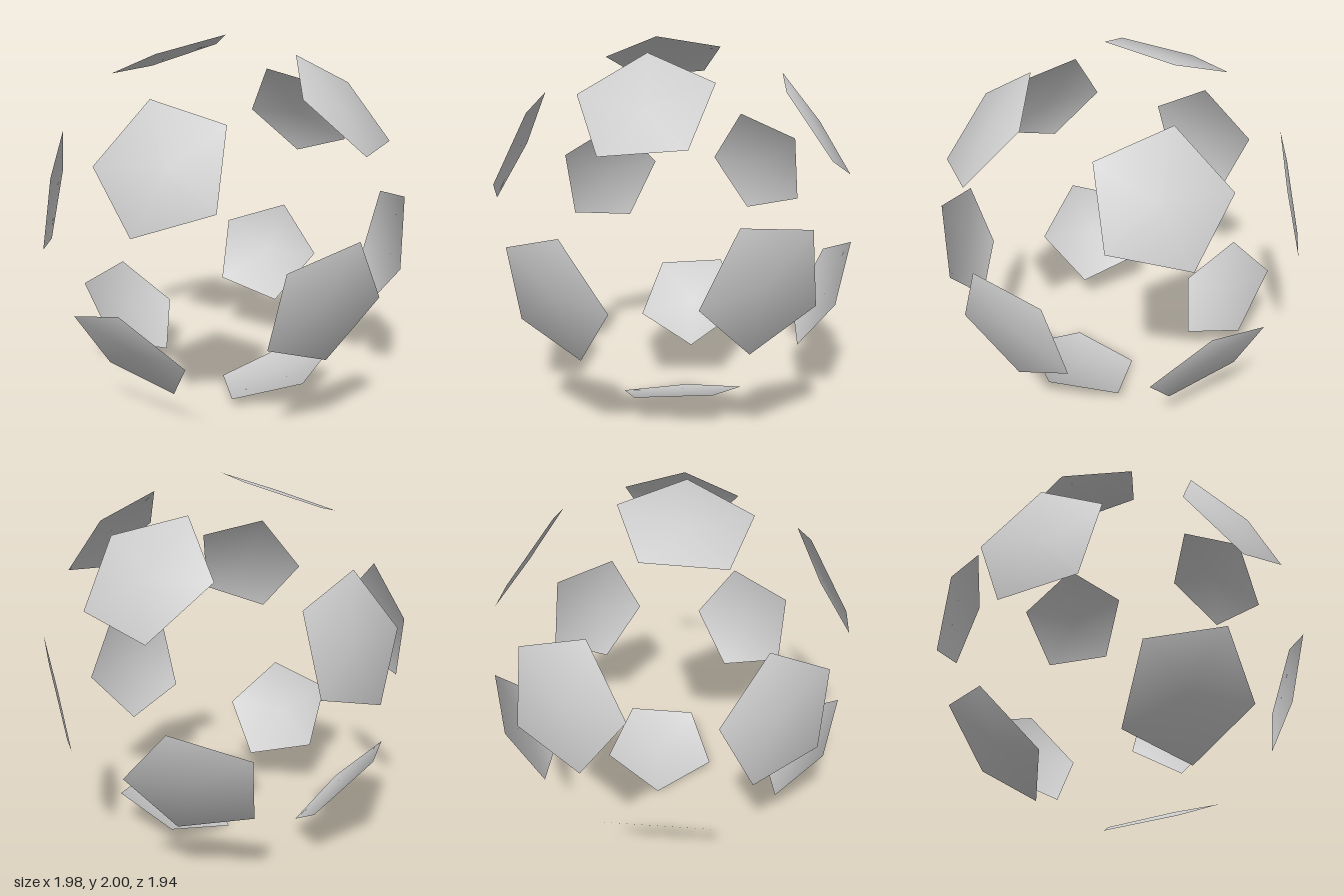
import * as THREE from 'three';

// Twelve pentagon panels of a truncated icosahedron, floating as an open ball.
export function createModel() {
  const model = new THREE.Group();
  model.name = 'panelBall';

  const R = 1.005;               // corner distance from the ball's centre
  const edge = R / 2.478;        // pentagon side
  const radius = edge * 0.8507;  // pentagon circumradius
  const height = Math.sqrt(R * R - radius * radius);

  // Flat pentagon facing +z, with normals rounded to follow the ball
  const panelGeometry = new THREE.CircleGeometry(radius, 5);
  panelGeometry.translate(0, 0, height);
  const pos = panelGeometry.attributes.position;
  const v = new THREE.Vector3();
  for (let i = 0; i < pos.count; i++) {
    v.fromBufferAttribute(pos, i).normalize();
    panelGeometry.attributes.normal.setXYZ(i, v.x, v.y, v.z);
  }
  const material = new THREE.MeshStandardMaterial({ color: 0xcccccc, side: THREE.DoubleSide });

  // Tilted ball, lifted to stand on the ground
  const ball = new THREE.Group();
  ball.name = 'panels';
  const up = new THREE.Vector3(-0.3065, 0.9515, -0.02).normalize();
  const side = new THREE.Vector3(0.951, 0.307, 0.013);
  side.addScaledVector(up, -side.dot(up)).normalize();
  const front = new THREE.Vector3().crossVectors(side, up);
  ball.quaternion.setFromRotationMatrix(new THREE.Matrix4().makeBasis(side, up, front));
  ball.position.y = 1;
  model.add(ball);

  // A panel centred on an axis, one corner pointing towards a neighbouring axis
  function addPanel(name, axis, neighbour) {
    const x = neighbour.clone().addScaledVector(axis, -neighbour.dot(axis)).normalize();
    const y = new THREE.Vector3().crossVectors(axis, x);
    const panel = new THREE.Mesh(panelGeometry, material);
    panel.name = name;
    panel.quaternion.setFromRotationMatrix(new THREE.Matrix4().makeBasis(x, y, axis));
    ball.add(panel);
  }

  // Pole panel plus a ring of five, repeated on the opposite side
  for (const s of [1, -1]) {
    const half = s > 0 ? 'upper' : 'lower';
    const pole = new THREE.Vector3(0, s, 0);
    addPanel(half + 'PolePanel', pole, new THREE.Vector3(0, 0, s));
    for (let k = 0; k < 5; k++) {
      const a = (k * 2 * Math.PI) / 5;
      const axis = new THREE.Vector3(2 * Math.sin(a), 1, 2 * Math.cos(a)).normalize().multiplyScalar(s);
      addPanel(half + 'RingPanel' + (k + 1), axis, pole);
    }
  }
  return model;
}
